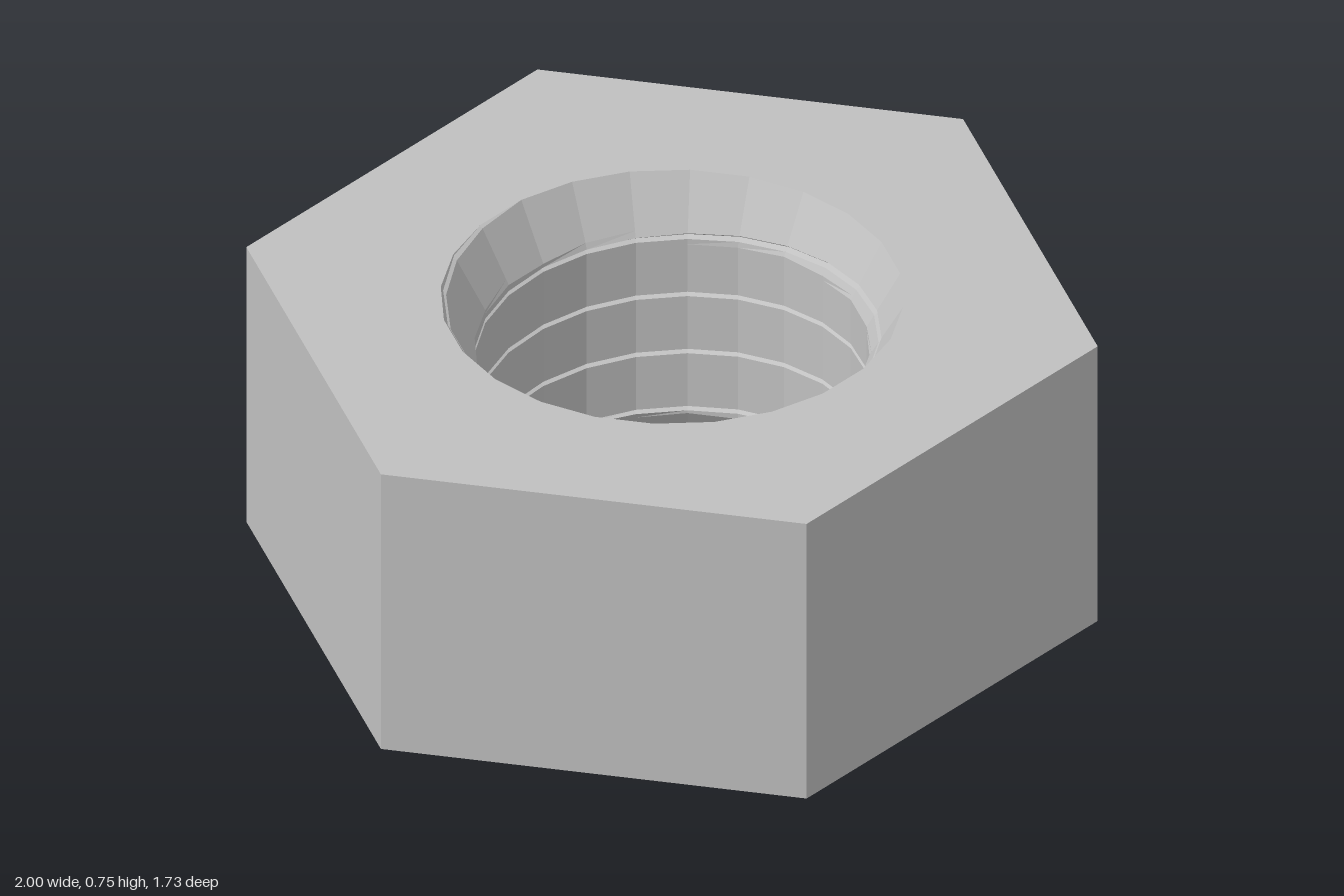
import * as THREE from 'three';

const H = 0.755;         // height
const RIM = 0.533;       // chamfer radius at the faces
const BORE = 0.455;      // bore radius
const CHAMFER = 0.137;   // chamfer height
const PITCH = 0.157;     // thread pitch
const SIDES = 24;
const START = Math.PI / SIDES;

const flat = (geometry) => {
  const g = geometry.index ? geometry.toNonIndexed() : geometry;
  g.computeVertexNormals();
  return g;
};

const ring = (path, radius, sides, start) => {
  for (let i = 0; i <= sides; i++) {
    const a = start + (i / sides) * Math.PI * 2;
    path[i ? 'lineTo' : 'moveTo'](radius * Math.cos(a), radius * Math.sin(a));
  }
  return path;
};

// Chamfered bore wall with a fine helical groove; rows follow the helix
function boreGeometry() {
  const offsets = [-0.006, 0, 0.006];
  const steps = 10;
  for (let i = 1; i < steps; i++) offsets.push(0.006 + (i / steps) * (PITCH - 0.012));
  const rows = [];
  for (let k = -6; k <= 2; k++) {
    offsets.forEach((o, n) => rows.push({ y: H - 0.117 + k * PITCH + o, n }));
  }
  const positions = [];
  const index = [];
  for (let i = 0; i <= SIDES; i++) {
    const a = START + (i / SIDES) * Math.PI * 2;
    for (const row of rows) {
      const raw = row.y + (PITCH * a) / (Math.PI * 2);
      let y = THREE.MathUtils.clamp(raw, 0, H);
      // keep the chamfer edges crisp
      if (row.n > 2) {
        for (const edge of [CHAMFER, H - CHAMFER]) if (Math.abs(y - edge) < 0.0073) y = edge;
      }
      const fromFace = Math.min(y, H - y);
      let r = BORE + (RIM - BORE) * Math.max(0, 1 - fromFace / CHAMFER);
      if (row.n === 1 && raw === y) r += 0.01;
      positions.push(r * Math.cos(a), y, r * Math.sin(a));
    }
  }
  const m = rows.length;
  for (let i = 0; i < SIDES; i++) {
    for (let j = 0; j < m - 1; j++) {
      const a = i * m + j, b = a + m;
      index.push(a, b, b + 1, a, b + 1, a + 1);
    }
  }
  const g = new THREE.BufferGeometry();
  g.setAttribute('position', new THREE.Float32BufferAttribute(positions, 3));
  g.setIndex(index);
  return flat(g);
}

export function createModel() {
  const group = new THREE.Group();
  group.name = 'hexNut';
  const steel = new THREE.MeshStandardMaterial({ color: 0xc0c0c0 });
  steel.name = 'steel';
  const add = (name, geometry) => {
    const mesh = new THREE.Mesh(geometry, steel);
    mesh.name = name;
    group.add(mesh);
    return mesh;
  };

  // Six outer flats
  const sides = new THREE.CylinderGeometry(1, 1, H, 6, 1, true, Math.PI / 2);
  add('hexSides', flat(sides.translate(0, H / 2, 0)));

  // Top and bottom faces with the round opening
  const face = ring(new THREE.Shape(), 1, 6, 0);
  face.holes.push(ring(new THREE.Path(), RIM, SIDES, START));
  add('topFace', new THREE.ShapeGeometry(face).rotateX(-Math.PI / 2).translate(0, H, 0));
  add('bottomFace', new THREE.ShapeGeometry(face).rotateX(Math.PI / 2));

  add('threadedBore', boreGeometry());
  return group;
}
